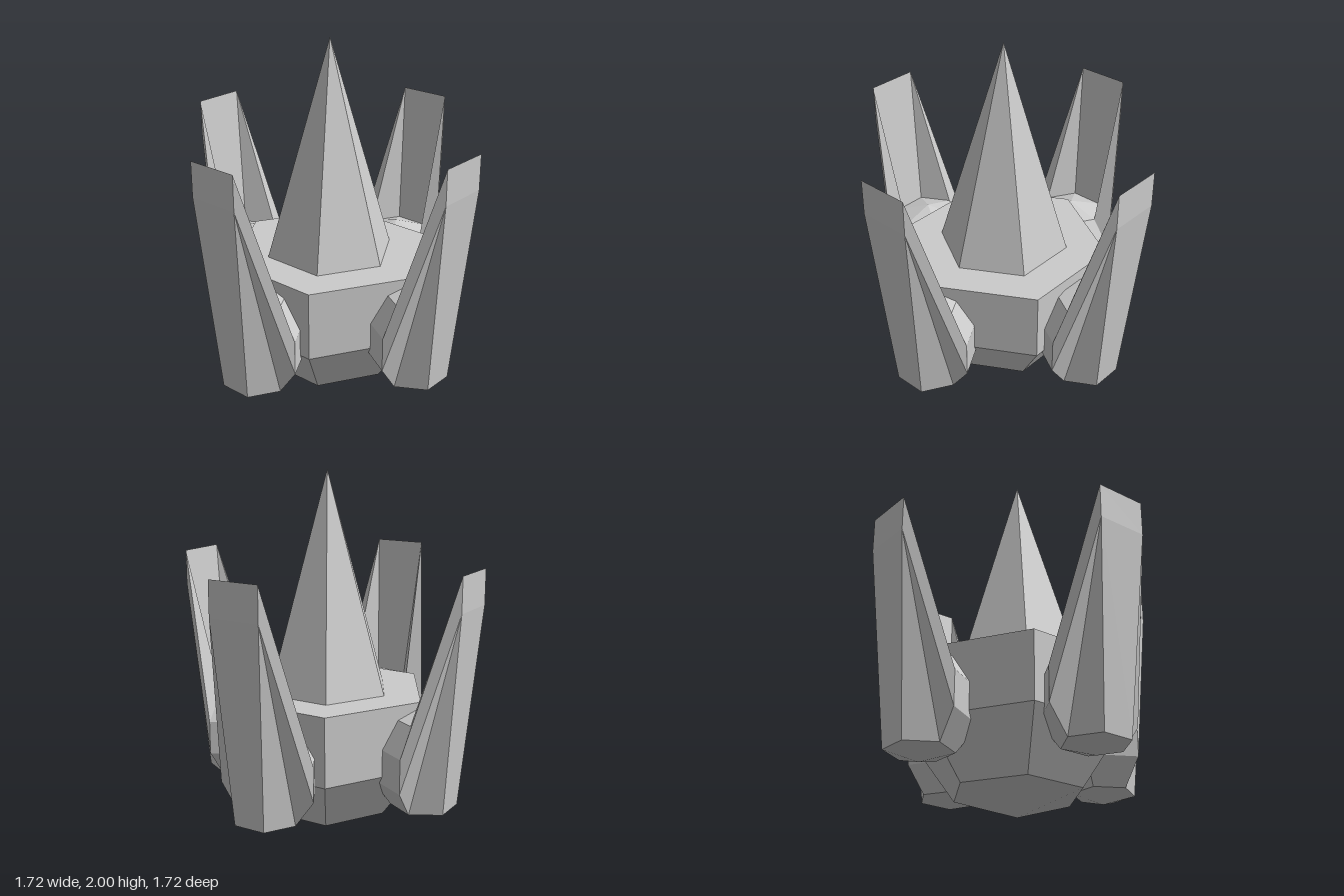
import * as THREE from 'three';

const material = new THREE.MeshStandardMaterial({ color: 0xcccccc, flatShading: true });

// Six-sided solid from a [radius, height] profile, with corners on the x axis
function hexSolid(name, profile) {
  const points = profile.map(([r, y]) => new THREE.Vector2(r, y));
  const geometry = new THREE.LatheGeometry(points, 6).rotateY(Math.PI / 6);
  const mesh = new THREE.Mesh(geometry.toNonIndexed(), material);
  mesh.geometry.computeVertexNormals();
  mesh.name = name;
  return mesh;
}

// Faceted pod whose two outer (+z) corners are drawn up into a tall blade
function podGeometry() {
  const rings = [[0, 0.175], [0.18, 0.23], [0.29, 0.38], [0.29, 0.57], [0.18, 0.72], [0, 0.775]];
  const lift = 0.95;
  const last = rings.length - 2;
  const corner = (k, i) => {
    const [r, y] = rings[k];
    const a = (i % 6) * Math.PI / 3;
    const raised = (k === 2 || k === 3) && (i === 1 || i === 2);
    return [r * Math.cos(a), y + (raised ? lift : 0), r * Math.sin(a)];
  };
  const positions = [];
  const tri = (...corners) => corners.forEach((c) => positions.push(...c));
  for (let k = 0; k <= last; k++) {
    for (let i = 0; i < 6; i++) {
      const a = corner(k, i), b = corner(k, i + 1);
      const c = corner(k + 1, i + 1), d = corner(k + 1, i);
      if (k === 0) tri(a, d, c);
      else if (k === last) tri(a, c, b);
      else if ((i === 2) !== (k >= 3)) {
        // mirrored split, so both flanks of the blade match
        tri(a, d, b);
        tri(d, c, b);
      } else {
        tri(a, d, c);
        tri(a, c, b);
      }
    }
  }
  const geometry = new THREE.BufferGeometry();
  geometry.setAttribute('position', new THREE.Float32BufferAttribute(positions, 3));
  geometry.computeVertexNormals();
  return geometry;
}

export function createModel() {
  const model = new THREE.Group();
  model.name = 'spiredTower';

  // Central hull with a pointed underside, and the spire on its deck
  model.add(hexSolid('hull', [[0, 0], [0.36, 0.12], [0.58, 0.42], [0.58, 0.8], [0, 0.8]]));
  model.add(hexSolid('spire', [[0.36, 0.8], [0, 2]]));

  // Four bladed pods around the hull
  const geometry = podGeometry();
  ['frontPod', 'leftPod', 'backPod', 'rightPod'].forEach((name, n) => {
    const angle = n * Math.PI / 2;
    const pod = new THREE.Mesh(geometry, material);
    pod.name = name;
    pod.position.set(0.61 * Math.sin(angle), 0, 0.61 * Math.cos(angle));
    pod.rotation.y = angle;
    model.add(pod);
  });

  return model;
}
